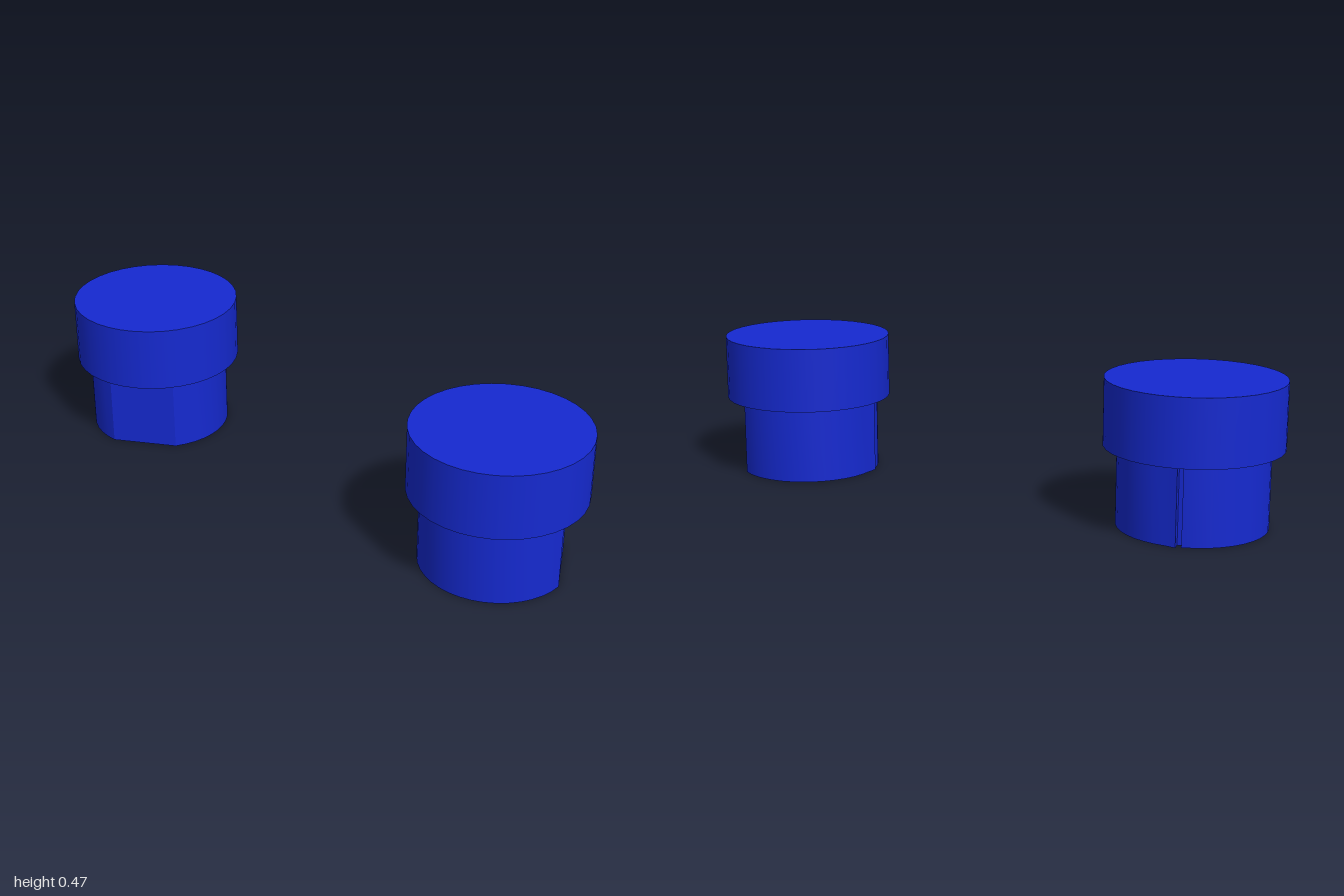
import * as THREE from 'three';
import { toCreasedNormals } from 'three/addons/utils/BufferGeometryUtils.js';

const STEM_R = 0.237, STEM_H = 0.253, CAP_R = 0.28, CAP_H = 0.213;
const material = new THREE.MeshStandardMaterial({ color: 0x1529d0 });

// Round stem outline with one flat panel and a narrow slit beside a small lip
function stemGeometry() {
  const points = [];
  const add = (deg, r = STEM_R) => {
    const a = THREE.MathUtils.degToRad(deg);
    points.push(new THREE.Vector2(r * Math.cos(a), r * Math.sin(a)));
  };
  for (let d = 90; d <= 252; d += 9) add(d);
  add(255.5);
  add(255.5, STEM_R - 0.02);
  add(259.5, STEM_R - 0.02);
  add(259.5, STEM_R + 0.008);
  for (let d = 268; d <= 394; d += 9) add(d);

  const geometry = new THREE.ExtrudeGeometry(new THREE.Shape(points), {
    depth: STEM_H, bevelEnabled: false,
  });
  geometry.rotateX(Math.PI / 2);
  geometry.translate(0, STEM_H, 0);
  return toCreasedNormals(geometry, 0.35);
}

function createPeg(name, stem, x, z, turn) {
  const peg = new THREE.Group();
  peg.name = name;

  const stemMesh = new THREE.Mesh(stem, material);
  stemMesh.name = 'stem';

  // Wide flat cap
  const cap = new THREE.Mesh(new THREE.CylinderGeometry(CAP_R, CAP_R, CAP_H, 36), material);
  cap.name = 'cap';
  cap.position.y = STEM_H + CAP_H / 2;

  peg.add(stemMesh, cap);
  peg.position.set(x, 0, z);
  peg.rotation.y = turn;
  return peg;
}

export function createModel() {
  const model = new THREE.Group();
  model.name = 'cappedPegs';
  const stem = stemGeometry();
  model.add(
    createPeg('frontPeg', stem, -0.005, 0.72, 0),
    createPeg('backPeg', stem, 0.005, -0.72, -Math.PI / 2),
  );
  return model;
}
